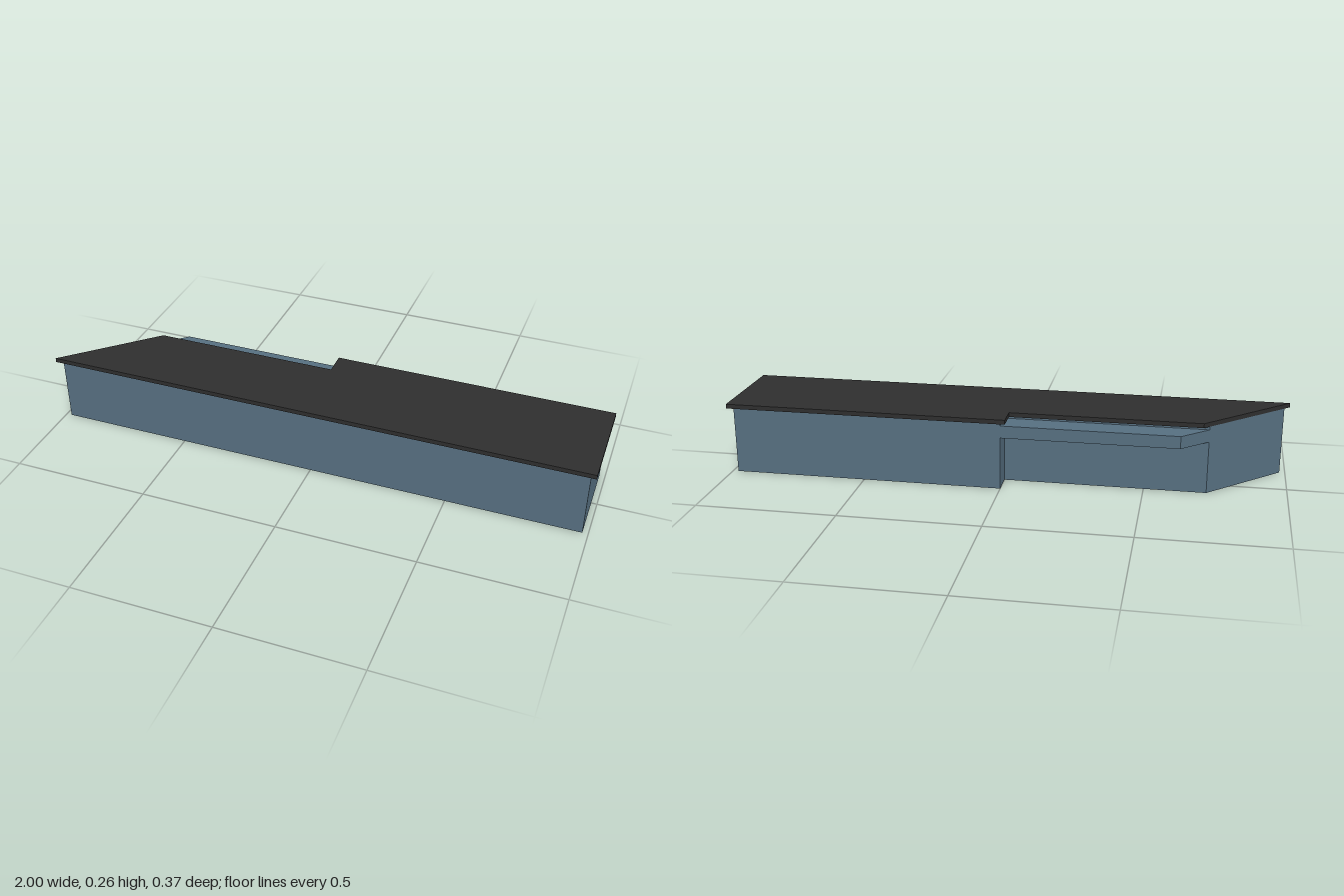
import * as THREE from 'three';

// Extrude a plan outline of [x, z] points upward from y0 to y1.
function prism(name, points, y0, y1, material) {
  const shape = new THREE.Shape(points.map(([x, z]) => new THREE.Vector2(x, -z)));
  const geometry = new THREE.ExtrudeGeometry(shape, { depth: y1 - y0, bevelEnabled: false });
  geometry.rotateX(-Math.PI / 2);
  geometry.translate(0, y0, 0);
  const mesh = new THREE.Mesh(geometry, material);
  mesh.name = name;
  return mesh;
}

export function createModel() {
  const panel = new THREE.MeshStandardMaterial({ color: 0x566f80 });
  panel.name = 'slate blue panel';
  const top = new THREE.MeshStandardMaterial({ color: 0x2e2e2e });
  top.name = 'charcoal top';

  const group = new THREE.Group();
  group.name = 'counter';

  // Base cabinet, narrower behind one half, with a diagonal end
  group.add(prism('base', [
    [-0.98, 0.167], [0.98, 0.167], [0.98, -0.167], [0, -0.167], [0, -0.08], [-0.72, -0.08],
  ], 0, 0.247, panel));

  // Overhanging shelf along the recessed part of the back
  group.add(prism('backShelf', [
    [-0.72, -0.08], [0, -0.08], [0, -0.167], [-0.625, -0.167],
  ], 0.19, 0.235, panel));

  // Worktop with a stepped back edge and the same diagonal end
  group.add(prism('worktop', [
    [-1, 0.185], [1, 0.185], [1, -0.185], [-0.02, -0.185], [-0.02, -0.1], [-0.7, -0.1],
  ], 0.247, 0.263, top));

  return group;
}
